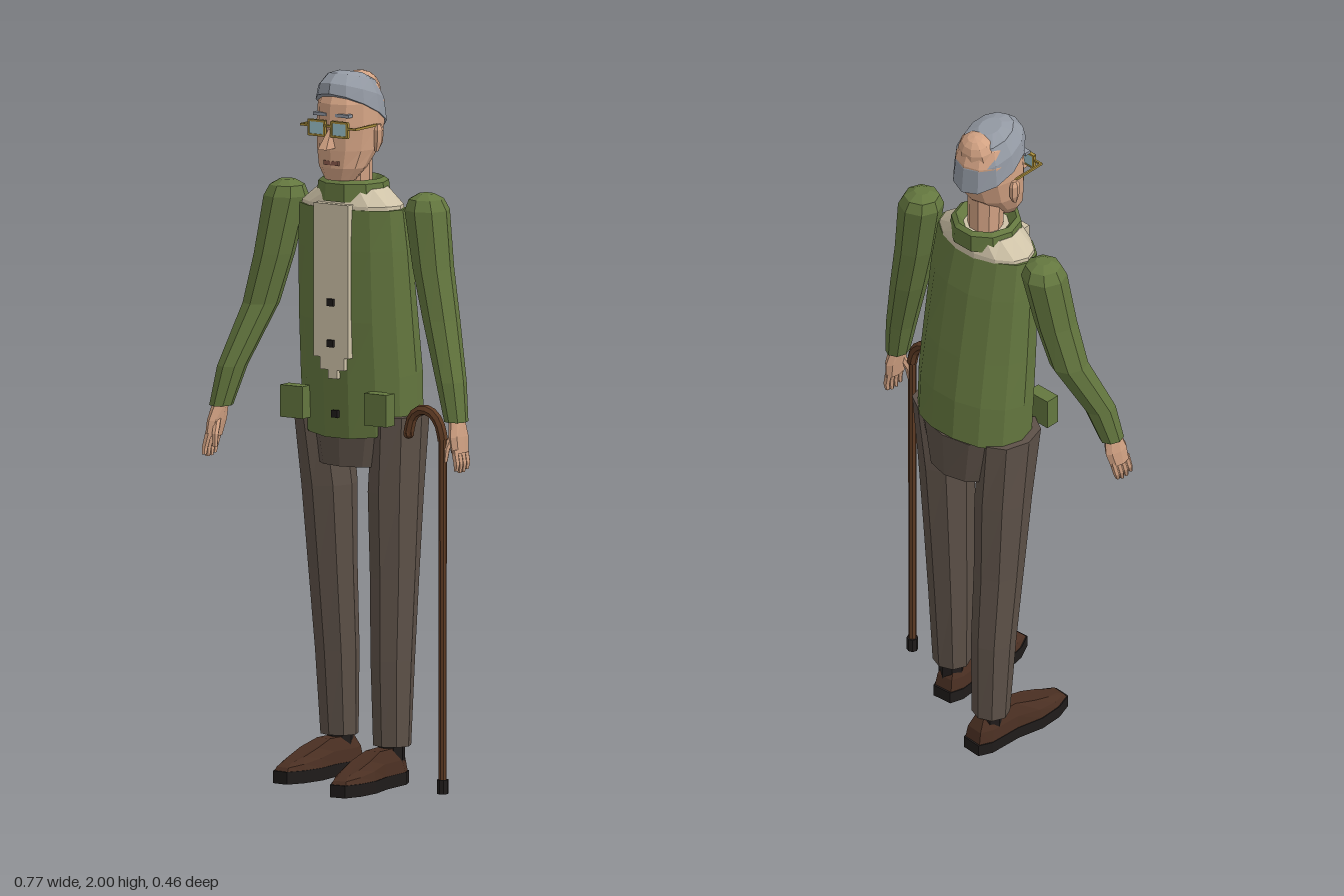
import * as THREE from 'three';

const mat = (color) => new THREE.MeshStandardMaterial({ color, flatShading: true });
const GREEN = mat(0x64773f), SKIN = mat(0xd2a283), HAIR = mat(0x9399a3), TROUSER = mat(0x5d5148),
  SHOE = mat(0x4a2f22), DARK = mat(0x1f1b1a), BEIGE = mat(0xcfc3a8), WOOD = mat(0x5e3b24),
  GOLD = mat(0xa58a3a), LENS = mat(0x9cc3cc), LIP = mat(0x8a5a4c);

// Closed loft through elliptical rings, listed bottom to top: [x, y, z, rx, rz, slope of y along z]
function loft(rings, n = 8) {
  const pos = [], idx = [];
  for (const [x, y, z, rx, rz, slope = 0] of rings)
    for (let i = 0; i < n; i++) {
      const a = (i / n) * Math.PI * 2, dz = Math.sin(a) * rz;
      pos.push(x + Math.cos(a) * rx, y + slope * dz, z + dz);
    }
  const last = (rings.length - 1) * n;
  for (const r of [rings[0], rings[rings.length - 1]]) pos.push(r[0], r[1], r[2]);
  for (let i = 0; i < n; i++) {
    const j = (i + 1) % n;
    for (let k = 0; k < last; k += n) idx.push(k + i, k + n + i, k + j, k + j, k + n + i, k + n + j);
    idx.push(last + n, i, j, last + n + 1, last + j, last + i);
  }
  const g = new THREE.BufferGeometry();
  g.setAttribute('position', new THREE.Float32BufferAttribute(pos, 3));
  g.setIndex(idx);
  g.computeVertexNormals();
  return g;
}

export function createModel() {
  const root = new THREE.Group();
  const add = (name, geo, material, x = 0, y = 0, z = 0, parent = root) => {
    const m = new THREE.Mesh(geo, material);
    m.name = name;
    m.position.set(x, y, z);
    parent.add(m);
    return m;
  };
  const box = (name, w, h, d, material, x, y, z) => add(name, new THREE.BoxGeometry(w, h, d), material, x, y, z);

  // Cardigan, shirt shoulders, collar and trouser seat
  add('cardigan', loft([
    [0, 1.005, -0.098, 0.18, 0.133, -0.26], [0, 1.15, -0.09, 0.183, 0.133, -0.1], [0, 1.3, -0.075, 0.18, 0.127],
    [0, 1.5, -0.057, 0.175, 0.11], [0, 1.615, -0.045, 0.168, 0.092]], 14), GREEN);
  add('shirtShoulders', loft([[0, 1.6, -0.047, 0.162, 0.092], [0, 1.625, -0.047, 0.158, 0.092],
    [0, 1.67, -0.05, 0.1, 0.085]], 14), BEIGE);
  add('collar', loft([[0, 1.635, -0.05, 0.105, 0.1], [0, 1.685, -0.05, 0.098, 0.098], [0, 1.695, -0.05, 0.085, 0.085],
    [0, 1.665, -0.05, 0.06, 0.06]], 10), GREEN);
  add('trouserSeat', loft([[0, 0.89, -0.1, 0.13, 0.12], [0, 1.03, -0.1, 0.17, 0.126]], 12), TROUSER);

  // Shirt front, buttons and pockets
  box('shirtFront', 0.115, 0.43, 0.04, BEIGE, -0.002, 1.415, 0.04);
  box('shirtTail', 0.08, 0.04, 0.035, BEIGE, 0, 1.185, 0.04);
  box('shirtPoint', 0.03, 0.03, 0.03, BEIGE, 0, 1.155, 0.04);
  for (const [y, z] of [[1.355, 0.063], [1.24, 0.063], [1.04, 0.04]]) box('button', 0.02, 0.02, 0.014, DARK, 0, y, z);
  for (const s of [-1, 1]) box('pocket', 0.075, 0.09, 0.042, GREEN, s * 0.14, 1.063, 0.03);

  // Head, neck and hair with a bald crown
  add('neck', loft([[0, 1.64, -0.055, 0.05, 0.048], [0, 1.78, -0.05, 0.052, 0.052]], 10), SKIN);
  add('head', loft([
    [0, 1.695, 0.015, 0.045, 0.037], [0, 1.73, 0.002, 0.07, 0.06], [0, 1.78, -0.022, 0.085, 0.088],
    [0, 1.85, -0.035, 0.091, 0.104], [0, 1.91, -0.038, 0.088, 0.103], [0, 1.955, -0.04, 0.07, 0.083],
    [0, 1.975, -0.04, 0.045, 0.05]], 12), SKIN);
  add('hair', loft([
    [0, 1.883, -0.038, 0.094, 0.111, 0.52], [0, 1.935, -0.038, 0.086, 0.104, 0.33],
    [0, 1.975, -0.04, 0.062, 0.077, 0.25], [0, 1.991, -0.035, 0.03, 0.036, 0.2]], 12), HAIR);
  const crown = add('baldCrown', new THREE.SphereGeometry(1, 10, 4, 0, Math.PI * 2, 0, Math.PI / 2), SKIN, 0, 1.935, -0.083);
  crown.scale.set(0.06, 0.054, 0.05);
  crown.rotation.x = -0.25;

  // Face: nose, mouth, brows and ears
  const nose = new THREE.ConeGeometry(0.02, 0.075, 4).rotateY(Math.PI / 4);
  const np = nose.attributes.position;
  for (let i = 0; i < np.count; i++) {
    if (np.getY(i) > 0) np.setZ(i, -0.018);
    else if (np.getZ(i) > 0.005) np.setZ(i, 0.037);
  }
  nose.computeVertexNormals();
  add('nose', nose, SKIN, 0, 1.825, 0.07);
  box('mouth', 0.05, 0.012, 0.014, LIP, 0, 1.745, 0.056);
  for (const s of [-1, 1]) {
    box('eyebrow', 0.045, 0.009, 0.02, HAIR, s * 0.037, 1.88, 0.054);
    add('ear', loft([[s * 0.09, 1.775, -0.03, 0.006, 0.006], [s * 0.093, 1.8, -0.035, 0.011, 0.016],
      [s * 0.095, 1.835, -0.035, 0.011, 0.018], [s * 0.093, 1.85, -0.035, 0.006, 0.01]], 6), SKIN);

    // Spectacles
    box('lens', 0.046, 0.034, 0.006, LENS, s * 0.038, 1.843, 0.074);
    for (const dy of [-0.02, 0.02]) box('lensRim', 0.056, 0.006, 0.01, GOLD, s * 0.038, 1.843 + dy, 0.075);
    for (const dx of [-0.026, 0.026]) box('lensSide', 0.006, 0.04, 0.01, GOLD, s * 0.038 + dx, 1.843, 0.075);
    box('templeHinge', 0.03, 0.006, 0.006, GOLD, s * 0.076, 1.848, 0.075);
    box('templeBar', 0.005, 0.007, 0.11, GOLD, s * 0.09, 1.848, 0.023);
  }
  box('bridge', 0.026, 0.006, 0.008, GOLD, 0, 1.851, 0.077);

  // Arms and hands: s is the side, z positions of shoulder, elbow and wrist, hand drift along z
  const arm = (s, zs, ze, zw, drift) => {
    const g = new THREE.Group();
    g.name = s > 0 ? 'leftArm' : 'rightArm';
    root.add(g);
    add('sleeve', loft([
      [s * 0.355, 1.04, zw, 0.032, 0.037], [s * 0.335, 1.15, zw * 0.75 + ze * 0.25, 0.041, 0.047],
      [s * 0.292, 1.32, ze, 0.051, 0.056], [s * 0.262, 1.46, (ze + zs) / 2, 0.057, 0.061],
      [s * 0.238, 1.62, zs, 0.064, 0.064], [s * 0.235, 1.65, zs, 0.05, 0.05], [s * 0.235, 1.665, zs, 0.022, 0.022]]),
      GREEN, 0, 0, 0, g);
    add('palm', loft([
      [s * 0.368, 0.955, zw + drift * 0.6, 0.017, 0.035], [s * 0.363, 1.0, zw + drift * 0.3, 0.02, 0.04],
      [s * 0.355, 1.055, zw, 0.021, 0.024]]), SKIN, 0, 0, 0, g);
    for (let i = 0; i < 4; i++) {
      const z = zw + (i - 1.5) * 0.017;
      const tip = 0.897 + 0.006 * Math.abs(i - 1.5);
      add('finger', loft([[s * 0.374, tip, z + drift, 0.007, 0.006], [s * 0.376, 0.925, z + drift * 0.8, 0.01, 0.009],
        [s * 0.368, 0.965, z + drift * 0.6, 0.011, 0.01]], 6), SKIN, 0, 0, 0, g);
    }
    add('thumb', loft([[s * 0.342, 0.93, zw + 0.034 + drift * 0.5, 0.007, 0.008],
      [s * 0.345, 0.965, zw + 0.032 + drift * 0.4, 0.01, 0.011],
      [s * 0.355, 1.01, zw + 0.015, 0.01, 0.012]], 6), SKIN, 0, 0, 0, g);
  };
  arm(-1, -0.068, -0.025, 0.08, 0.03);
  arm(1, -0.062, -0.052, -0.033, 0.004);

  // Legs and shoes: z positions of hip, knee, ankle and shoe centre
  const sole = new THREE.Shape([[-0.03, -0.17], [0.03, -0.17], [0.045, -0.13], [0.042, -0.03], [0.054, 0.05],
    [0.046, 0.12], [0.024, 0.172], [-0.024, 0.172], [-0.046, 0.12], [-0.054, 0.05], [-0.042, -0.03],
    [-0.045, -0.13]].map(([x, z]) => new THREE.Vector2(x, -z)));
  const leg = (s, zh, zk, za, zf) => {
    const g = new THREE.Group();
    g.name = s > 0 ? 'leftLeg' : 'rightLeg';
    root.add(g);
    add('trouserLeg', loft([
      [s * 0.122, 0.11, za, 0.055, 0.052], [s * 0.12, 0.35, za * 0.6 + zk * 0.4, 0.062, 0.064],
      [s * 0.12, 0.58, zk, 0.068, 0.072], [s * 0.12, 0.82, (zk + zh) / 2, 0.075, 0.086],
      [s * 0.132, 1.035, zh, 0.07, 0.098]]), TROUSER, 0, 0, 0, g);
    add('ankle', loft([[s * 0.12, 0.06, za, 0.036, 0.04], [s * 0.12, 0.13, za, 0.036, 0.04]]), DARK, 0, 0, 0, g);
    const shoe = new THREE.Group();
    shoe.name = 'shoe';
    shoe.position.set(s * 0.125, 0, zf);
    shoe.rotation.y = s * 0.07;
    g.add(shoe);
    add('sole', new THREE.ExtrudeGeometry(sole, { depth: 0.035, bevelEnabled: false }).rotateX(-Math.PI / 2), DARK, 0, 0, 0, shoe);
    // Upper: the sole outline narrowed, high at the heel and falling toward the toe
    const upper = new THREE.ExtrudeGeometry(sole, { depth: 0.03, steps: 2, bevelEnabled: false }).rotateX(-Math.PI / 2);
    const p = upper.attributes.position;
    for (let i = 0; i < p.count; i++) {
      const t = p.getY(i) / 0.03, z = p.getZ(i), h = z < -0.02 ? 0.07 : 0.07 - (z + 0.02) * 0.26;
      const k = 0.96 - 0.42 * t * t;
      p.setXYZ(i, p.getX(i) * k, 0.035 + t * h, z * (0.97 - 0.16 * t * t));
    }
    upper.computeVertexNormals();
    add('shoeUpper', upper, SHOE, 0, 0, 0, shoe);
  };
  leg(-1, -0.09, -0.125, -0.16, -0.06);
  leg(1, -0.088, -0.075, -0.06, 0.06);

  // Walking cane with a crook handle
  add('caneShaft', new THREE.CylinderGeometry(0.012, 0.011, 0.98, 8), WOOD, 0.335, 0.51, 0.005);
  add('caneTip', new THREE.CylinderGeometry(0.016, 0.016, 0.04, 8), DARK, 0.335, 0.02, 0.005);
  const crook = new THREE.CatmullRomCurve3([[0.335, 0.99], [0.325, 1.03], [0.3, 1.062], [0.265, 1.07], [0.235, 1.05],
    [0.22, 1.0]].map(([x, y]) => new THREE.Vector3(x, y, 0.003)));
  add('caneHandle', new THREE.TubeGeometry(crook, 10, 0.015, 7), WOOD);
  add('caneHandleEnd', new THREE.SphereGeometry(0.016, 7, 5), WOOD, 0.22, 1.0, 0.003);

  return root;
}
